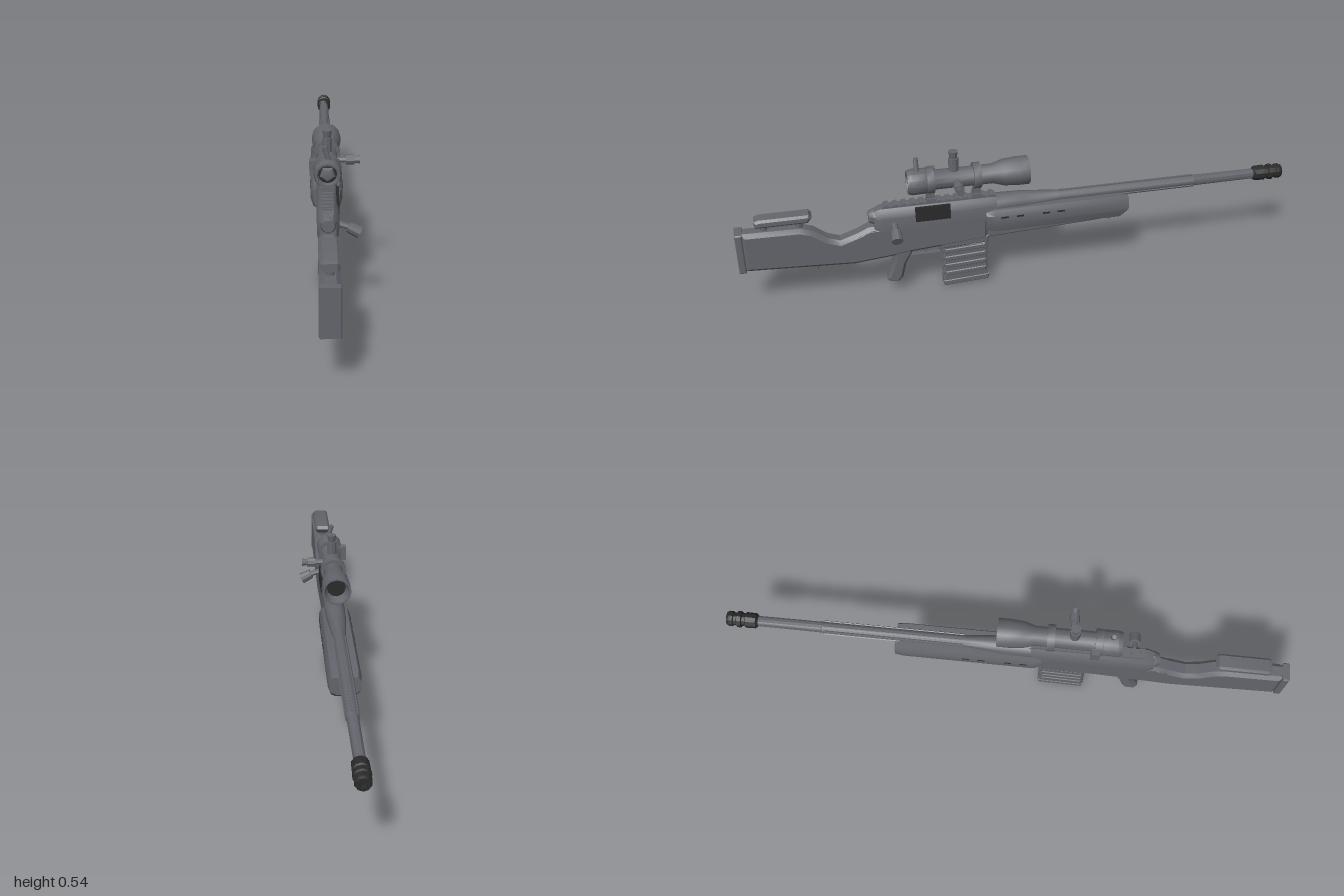
import * as THREE from 'three';
import { toCreasedNormals, mergeVertices } from 'three/addons/utils/BufferGeometryUtils.js';

const CX = -0.023; // centre line of the rifle
const BORE = 0.316; // barrel height
const OPTIC = 0.437; // scope height

export function createModel() {
  const model = new THREE.Group();
  model.name = 'rifle';
  const mat = (name, color) => {
    const m = new THREE.MeshStandardMaterial({ color, side: THREE.DoubleSide });
    m.name = name;
    return m;
  };
  const gray = mat('gunmetal gray', 0x63656c);
  const black = mat('matte black', 0x2a2a2b);

  const add = (name, geo, material = gray, x = CX, y = 0, z = 0, crease = 0.6) => {
    const mesh = new THREE.Mesh(toCreasedNormals(geo, crease), material);
    mesh.name = name;
    mesh.position.set(x, y, z);
    model.add(mesh);
    return mesh;
  };
  const box = (name, w, h, d, x, y, z, material) =>
    add(name, new THREE.BoxGeometry(w, h, d), material, x, y, z);
  // side outline of [z, y] points, extruded across x with a chamfer
  const slab = (name, pts, width, bevel, hole, material) => {
    const v = (p) => p.map(([a, b]) => new THREE.Vector2(a, b));
    const shape = new THREE.Shape(v(pts));
    if (hole) shape.holes.push(new THREE.Path(v(hole)));
    const geo = new THREE.ExtrudeGeometry(shape, {
      depth: width - 2 * bevel, bevelEnabled: bevel > 0, bevelThickness: bevel,
      bevelSize: bevel, bevelOffset: -bevel, bevelSegments: 1,
    });
    geo.translate(0, 0, -(width - 2 * bevel) / 2).rotateY(-Math.PI / 2);
    return add(name, geo, material);
  };
  // turned part along z from [radius, z] points
  const turned = (name, pts, y, sides, material) => {
    const geo = new THREE.LatheGeometry(pts.map(([r, z]) => new THREE.Vector2(r, z)), sides);
    return add(name, mergeVertices(geo.rotateX(Math.PI / 2)), material, CX, y);
  };
  // cylinder between two points
  const rod = (name, a, b, ra, rb = ra, sides = 8) => {
    const p = new THREE.Vector3(...a), d = new THREE.Vector3(...b).sub(p);
    const mesh = add(name, new THREE.CylinderGeometry(rb, ra, d.length(), sides));
    mesh.quaternion.setFromUnitVectors(new THREE.Vector3(0, 1, 0), d.clone().normalize());
    mesh.position.copy(p).addScaledVector(d, 0.5);
  };
  // skin over cross-sections [z, [[x, y], ...]], closed at both ends
  const loft = (name, rings) => {
    const n = rings[0][1].length, pos = [], idx = [];
    rings.forEach(([z, pts]) => pts.forEach(([x, y]) => pos.push(x, y, z)));
    for (let r = 0; r < rings.length - 1; r++)
      for (let i = 0; i < n; i++) {
        const a = r * n + i, b = r * n + (i + 1) % n;
        idx.push(a, b, b + n, a, b + n, a + n);
      }
    const last = (rings.length - 1) * n;
    for (let i = 1; i < n - 1; i++) idx.push(0, i + 1, i, last, last + i, last + i + 1);
    const geo = new THREE.BufferGeometry();
    geo.setAttribute('position', new THREE.Float32BufferAttribute(pos, 3));
    geo.setIndex(idx);
    return add(name, geo);
  };
  const mirror = (half) => [...half, ...half.slice().reverse().map(([x, y]) => [-x, y])];

  // stock with thumbhole
  slab('stock', [
    [0.98, 0.165], [0.98, 0.316], [0.78, 0.312], [0.735, 0.297], [0.69, 0.262], [0.645, 0.245],
    [0.58, 0.268], [0.545, 0.285], [0.12, 0.29], [0.12, 0.185], [0.4, 0.165], [0.47, 0.155], [0.6, 0.143],
  ], 0.064, 0.014, [
    [0.588, 0.215], [0.57, 0.247], [0.53, 0.262], [0.485, 0.258], [0.46, 0.235],
    [0.465, 0.2], [0.49, 0.183], [0.545, 0.18], [0.578, 0.192],
  ]);
  slab('buttPad', [[1, 0.163], [1, 0.318], [0.975, 0.318], [0.975, 0.163]], 0.066, 0.004);
  slab('grip', [
    [0.475, 0.2], [0.46, 0.15], [0.492, 0.062], [0.485, 0.05], [0.45, 0.045],
    [0.435, 0.06], [0.42, 0.12], [0.395, 0.165], [0.395, 0.2],
  ], 0.054, 0.01);
  rod('slingStud', [CX, 0.155, 0.735], [CX, 0.13, 0.735], 0.006);

  // raised cheek rest
  slab('cheekRest', [[0.93, 0.333], [0.93, 0.358], [0.915, 0.364], [0.745, 0.364], [0.735, 0.352], [0.75, 0.333]], 0.058, 0.008);
  for (const z of [0.9, 0.78]) rod('cheekRestPost', [CX, 0.3, z], [CX, 0.34, z], 0.012);

  // forend: eight-sided section, cut back below the nose
  const forend = (w, top, low) => mirror([
    [0.03 * w, low], [0.046 * w, low + 0.008], [0.056 * w, 0.255],
    [0.056 * w, 0.29], [0.046 * w, top], [0.02 * w, top],
  ]);
  loft('forend', [
    [-0.395, forend(0.93, 0.305, 0.24)], [-0.365, forend(1, 0.311, 0.218)],
    [0.1, forend(1, 0.311, 0.216)], [0.13, forend(0.82, 0.3, 0.222)],
  ]);
  slab('forendRail', [[0.14, 0.186], [0.14, 0.24], [-0.34, 0.24], [-0.34, 0.21], [-0.3, 0.206]], 0.044, 0.006);
  rod('forendStud', [CX, 0.22, -0.335], [CX, 0.198, -0.335], 0.009);
  for (const s of [-1, 1])
    for (let i = 0; i < 4; i++)
      box('forendVent', 0.003, 0.006, 0.026, CX + s * 0.056, 0.284, 0.065 - i * 0.055 - (i > 1 ? 0.04 : 0), black);

  // receiver, rail and ejection port
  const body = (w, top) => mirror([
    [0.034 * w, 0.265], [0.036 * w, 0.32], [0.028 * w, top - 0.012], [0.019 * w, top],
  ]);
  loft('receiver', [[0.07, body(0.9, 0.347)], [0.11, body(1, 0.352)], [0.5, body(1, 0.352)], [0.525, body(0.75, 0.342)]]);
  box('topRail', 0.034, 0.01, 0.4, CX, 0.353, 0.29);
  for (let i = 0; i < 13; i++) box('railTooth', 0.038, 0.006, 0.016, CX, 0.36, 0.105 + i * 0.031);
  slab('ejectionPort', [[0.38, 0.296], [0.38, 0.352], [0.256, 0.352], [0.256, 0.296]], 0.009, 0, null, black)
    .position.x = 0.011;
  turned('boltShroud', [[0, 0.48], [0.028, 0.48], [0.028, 0.525], [0.02, 0.542], [0, 0.542]], 0.318, 10);
  rod('boltHandle', [0.0, 0.297, 0.455], [0.048, 0.282, 0.455], 0.011);
  rod('boltKnob', [0.042, 0.284, 0.455], [0.079, 0.265, 0.455], 0.018, 0.021, 10);

  // barrel with ribs, then muzzle brake
  turned('barrel', [
    [0, -0.92], [0.0185, -0.92], [0.0195, -0.66], [0.0215, -0.655], [0.022, -0.14], [0.035, 0.0], [0.037, 0.09], [0, 0.09],
  ], BORE, 12);
  for (let i = 0; i < 6; i++) {
    const a = Math.PI / 2 + i * Math.PI / 3;
    const rib = box('barrelRib', 0.007, 0.007, 0.5, CX + Math.cos(a) * 0.021, BORE + Math.sin(a) * 0.021, -0.4);
    rib.rotation.z = a;
  }
  turned('muzzleBrake', [
    [0, -0.985], [0.012, -0.985], [0.012, -1], [0.023, -1], [0.027, -0.992], [0.027, -0.978], [0.023, -0.975], [0.023, -0.965],
    [0.029, -0.962], [0.029, -0.948], [0.023, -0.945], [0.023, -0.935], [0.028, -0.932],
    [0.027, -0.895], [0.019, -0.887], [0, -0.887],
  ], BORE, 10, black);

  // magazine with stepped ribs, slightly slanted
  const edge = (z, s) => Array.from({ length: 5 }, (_, i) => {
    const y = 0.17 - i * 0.03;
    return [[z, y], [z + s * 0.007, y - 0.022]];
  }).flat();
  slab('magazine', [
    ...edge(0.282, 1), [0.284, 0.02], [0.126, 0.028], ...edge(0.128, -1).reverse(),
  ], 0.044, 0.004);
  for (let i = 0; i < 4; i++)
    slab('magazineRib', [
      [0.28, 0.158 - i * 0.032], [0.28, 0.14 - i * 0.032], [0.132, 0.147 - i * 0.032], [0.132, 0.165 - i * 0.032],
    ], 0.05, 0.003);
  slab('magazineFloor', [[0.288, 0.024], [0.286, 0.001], [0.122, 0.01], [0.12, 0.034]], 0.048, 0.004);
  slab('magazineWell', [[0.295, 0.2], [0.29, 0.165], [0.12, 0.172], [0.12, 0.2]], 0.058, 0.005);

  // trigger and guard
  box('triggerGuard', 0.02, 0.006, 0.115, CX, 0.14, 0.347);
  box('triggerGuardFront', 0.02, 0.035, 0.006, CX, 0.155, 0.292);
  slab('trigger', [[0.36, 0.18], [0.352, 0.15], [0.342, 0.146], [0.346, 0.18]], 0.01, 0);

  // scope with open objective bell
  turned('scopeTube', [
    [0.033, 0.005], [0.045, -0.03], [0.051, -0.03], [0.051, 0.01], [0.047, 0.06], [0.035, 0.1],
    [0.035, 0.32], [0.045, 0.335], [0.046, 0.385], [0.041, 0.4], [0.034, 0.4], [0.03, 0.385],
  ], OPTIC, 12);
  turned('objectiveLens', [[0, 0.005], [0.036, 0.005]], OPTIC, 12, black);
  turned('eyepieceLens', [[0.033, 0.383], [0, 0.388]], OPTIC, 12, black);
  turned('eyepieceCore', [[0.027, 0.384], [0.02, 0.394], [0, 0.398]], OPTIC, 5);
  for (const z of [0.155, 0.32]) {
    turned('scopeRing', [[0.034, z - 0.013], [0.046, z - 0.013], [0.046, z + 0.013], [0.034, z + 0.013]], OPTIC, 12);
    box('scopeMount', 0.032, 0.05, 0.026, CX, 0.383, z);
    box('mountClamp', 0.046, 0.018, 0.03, CX, 0.364, z);
  }
  box('ringClamp', 0.022, 0.05, 0.03, CX - 0.048, OPTIC, 0.31);

  // adjustment turrets and zoom lever
  rod('topTurretBase', [CX, 0.465, 0.235], [CX, 0.515, 0.235], 0.018, 0.018, 10);
  rod('topTurretCap', [CX, 0.515, 0.235], [CX, 0.541, 0.235], 0.013, 0.017, 10);
  rod('sideTurretStem', [CX + 0.03, OPTIC, 0.23], [0.042, OPTIC, 0.23], 0.011);
  rod('sideTurretBase', [0.04, OPTIC, 0.23], [0.068, OPTIC, 0.23], 0.018, 0.017, 10);
  rod('sideTurretCap', [0.068, OPTIC, 0.23], [0.087, OPTIC, 0.23], 0.011, 0.014, 10);
  rod('zoomLever', [CX + 0.006, 0.47, 0.365], [CX - 0.01, 0.524, 0.365], 0.009, 0.008);
  return model;
}
